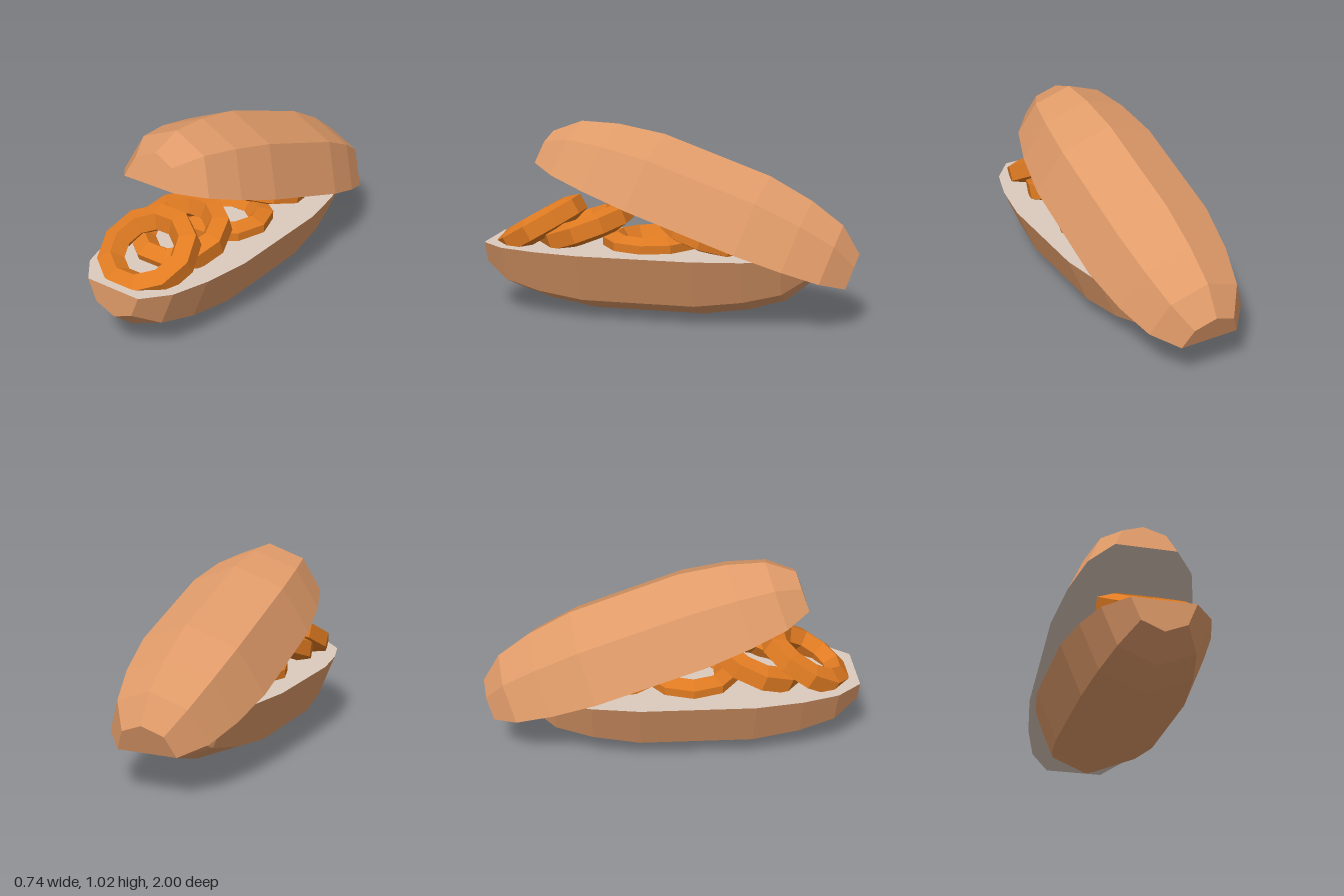
import * as THREE from 'three';

const crust = new THREE.MeshStandardMaterial({ color: 0xe09b69, flatShading: true });
crust.name = 'bun crust';
const crumb = new THREE.MeshStandardMaterial({ color: 0xdccabd, flatShading: true });
crumb.name = 'bun crumb';
const fried = new THREE.MeshStandardMaterial({ color: 0xe07b22, flatShading: true });
fried.name = 'fried ring';

// Bun stations along its length: [z, radius]
const half = [[0.30, 0.37], [0.55, 0.33], [0.745, 0.27], [0.877, 0.16]];
const stations = [...half.map(([z, r]) => [-z, r]).reverse(), ...half];

function geometryFrom(triangles) {
  const g = new THREE.BufferGeometry();
  g.setAttribute('position', new THREE.Float32BufferAttribute(triangles.flat(2), 3));
  g.computeVertexNormals();
  return g;
}

// Half of an eight-sided loaf, cut flat along y = 0, rounded side down
function makeBun(name) {
  const rings = stations.map(([z, r]) => {
    const ring = [];
    for (let j = 0; j <= 4; j++) {
      const a = Math.PI * (1 + j / 4);
      ring.push([r * Math.cos(a), r * Math.sin(a), z]);
    }
    return ring;
  });
  const shell = [], cut = [];
  const quad = (list, a, b, c, d) => list.push([a, b, c], [a, c, d]);
  for (let i = 0; i < rings.length - 1; i++) {
    const p = rings[i], q = rings[i + 1];
    for (let j = 0; j < 4; j++) quad(shell, p[j], p[j + 1], q[j + 1], q[j]);
    quad(cut, p[0], q[0], q[4], p[4]);
  }
  // Flat ends
  const back = rings[0], front = rings[rings.length - 1];
  for (let j = 1; j < 4; j++) {
    shell.push([front[0], front[j], front[j + 1]]);
    shell.push([back[0], back[j + 1], back[j]]);
  }
  const group = new THREE.Group();
  group.name = name;
  const shellMesh = new THREE.Mesh(geometryFrom(shell), crust);
  shellMesh.name = name + 'Crust';
  const cutMesh = new THREE.Mesh(geometryFrom(cut), crumb);
  cutMesh.name = name + 'CutFace';
  group.add(shellMesh, cutMesh);
  return group;
}

// Ten-sided ring with a five-sided section pointing inward
function makeRingGeometry() {
  const profile = [];
  for (let i = 0; i <= 5; i++) {
    const a = Math.PI + (i / 5) * Math.PI * 2;
    profile.push(new THREE.Vector2(0.202 + 0.072 * Math.cos(a), 0.072 * Math.sin(a)));
  }
  return new THREE.LatheGeometry(profile, 10, Math.PI / 2);
}

export function createModel() {
  const model = new THREE.Group();
  model.name = 'ringSandwich';
  const rad = THREE.MathUtils.degToRad;

  const bottom = makeBun('bottomBun');
  bottom.position.set(0, 0.37, 0.123);
  model.add(bottom);

  // Lid is the same bun turned over and lifted at the front
  const lid = makeBun('topBun');
  lid.position.set(0, 0.517, -0.12);
  lid.rotation.set(rad(-19.8), 0, Math.PI);
  model.add(lid);

  // Filling rings: [y, z, tilt in degrees]
  const ringGeometry = makeRingGeometry();
  [[0.45, 0.724, 30], [0.449, 0.475, 20], [0.372, 0.11, 0], [0.452, -0.205, -16]]
    .forEach(([y, z, tilt], i) => {
      const ring = new THREE.Mesh(ringGeometry, fried);
      ring.name = 'friedRing' + (i + 1);
      ring.position.set(0, y, z);
      ring.rotation.x = rad(tilt);
      model.add(ring);
    });

  return model;
}
